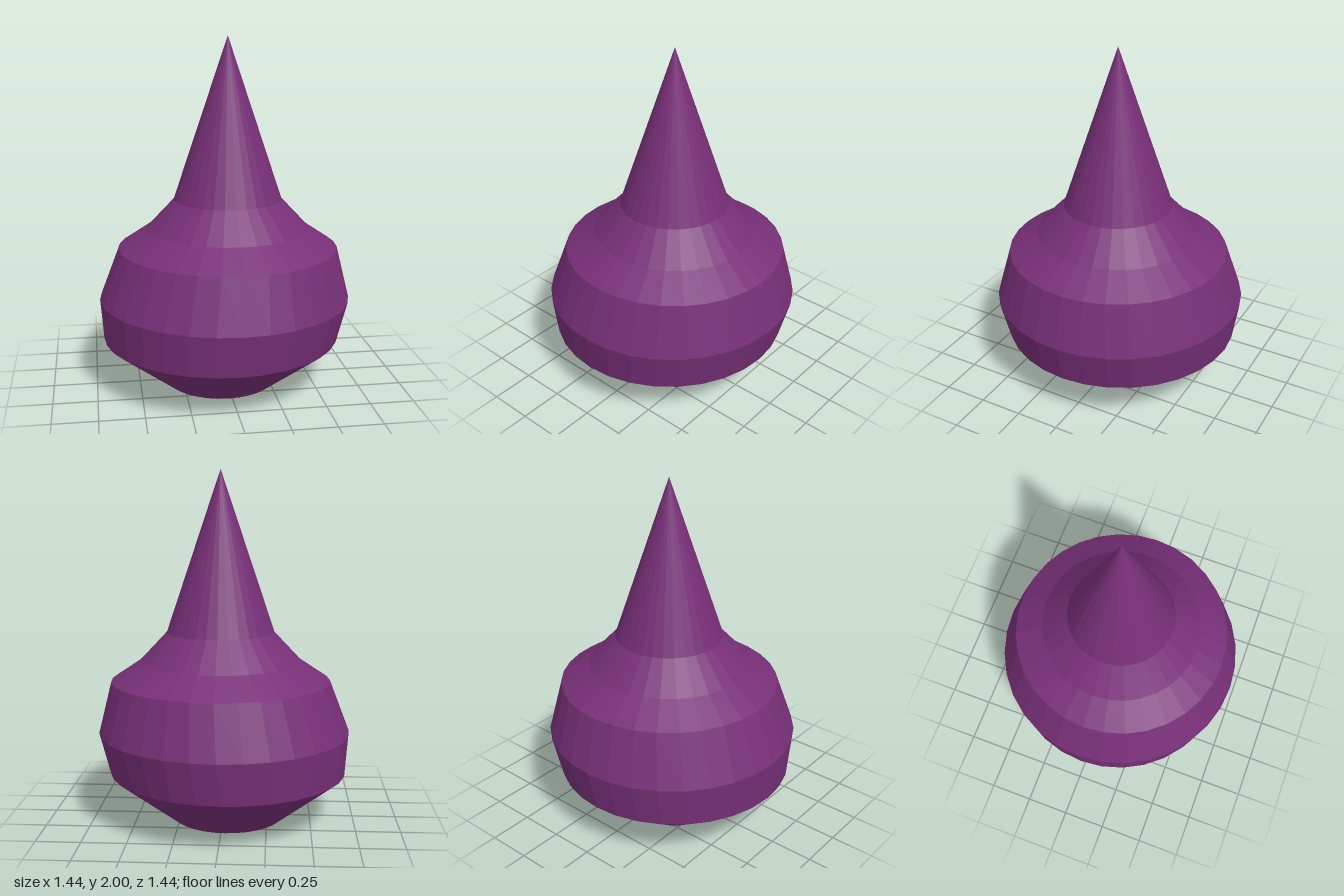
import * as THREE from 'three';

const SEGMENTS = 32;

// Each ring: [radius, height, sideways shift of its centre]
const RINGS = [
  [0, 0, -0.022],
  [0.32, 0, -0.022],
  [0.68, 0.28, -0.022],
  [0.72, 0.515, 0],
  [0.627, 0.81, 0.02],
  [0.463, 0.92, 0.02],
  [0.308, 1.085, 0.02],
  [0, 2, 0.02],
];

export function createModel() {
  const group = new THREE.Group();
  group.name = 'spikedBulb';

  // Turned body: base, belly, shoulder and spike
  const profile = RINGS.map(([r, y]) => new THREE.Vector2(r, y));
  const geometry = new THREE.LatheGeometry(profile, SEGMENTS);

  // Slide each ring sideways so the body leans slightly
  const pos = geometry.attributes.position;
  for (let i = 0; i < pos.count; i++) {
    pos.setX(i, pos.getX(i) + RINGS[i % RINGS.length][2]);
  }
  geometry.computeVertexNormals();

  const material = new THREE.MeshStandardMaterial({ color: 0x783078, flatShading: true });
  const body = new THREE.Mesh(geometry, material);
  body.name = 'body';
  group.add(body);
  return group;
}
